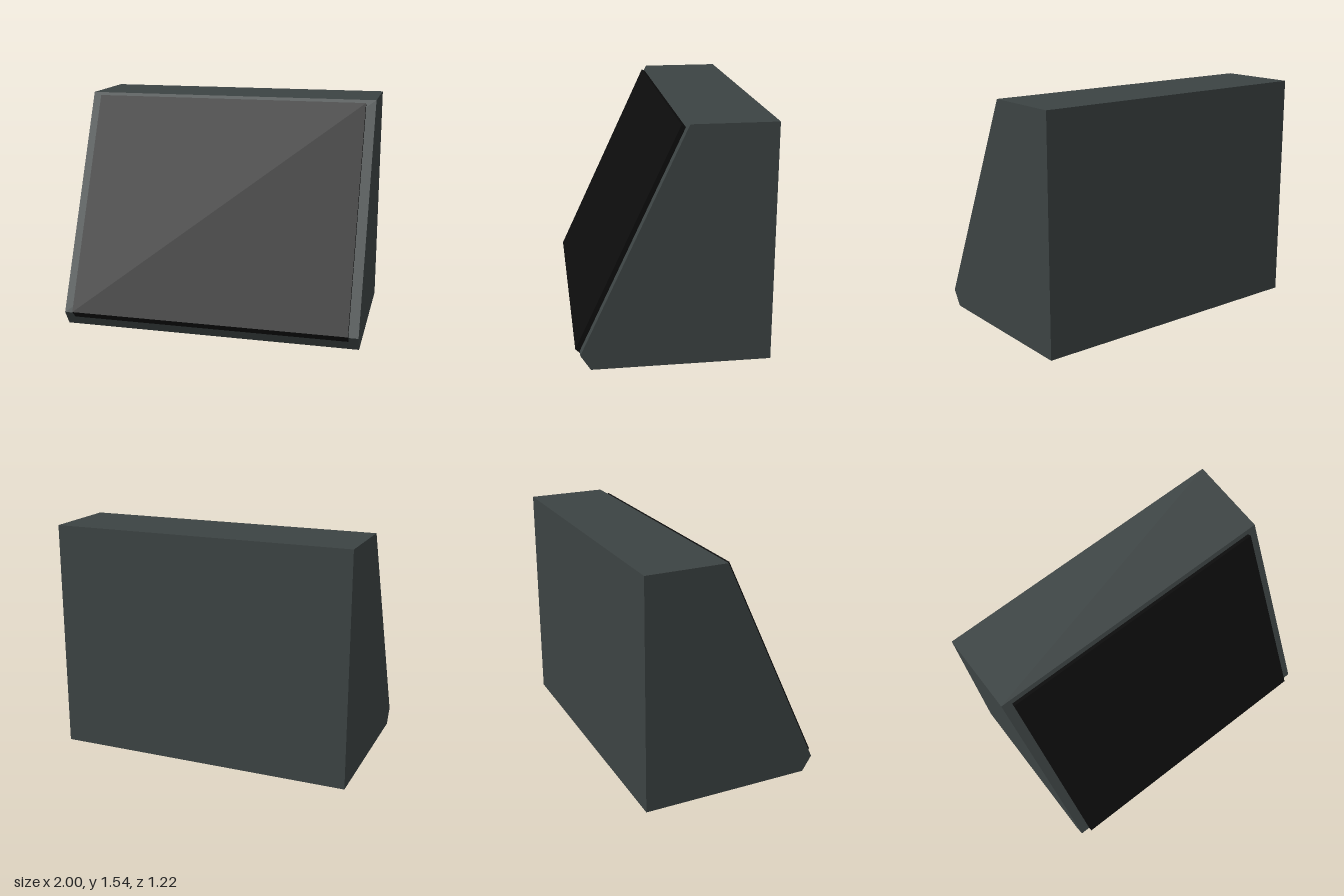
import * as THREE from 'three';

const material = (name, color) => {
  const m = new THREE.MeshStandardMaterial({ color });
  m.name = name;
  return m;
};

// Extrude a [z, y] side profile across x, centred on x = 0
function sideExtrude(name, profile, width, mat) {
  const shape = new THREE.Shape(profile.map(([z, y]) => new THREE.Vector2(-z, y)));
  const geometry = new THREE.ExtrudeGeometry(shape, { depth: width, bevelEnabled: false });
  geometry.translate(0, 0, -width / 2);
  geometry.rotateY(Math.PI / 2);
  const mesh = new THREE.Mesh(geometry, mat);
  mesh.name = name;
  return mesh;
}

export function createModel() {
  const group = new THREE.Group();
  group.name = 'wedgeMonitor';

  const casing = material('casing grey', 0x3c4343);
  const black = material('grille black', 0x0d0d0d);
  const grey = material('base pad grey', 0x8e8e91);

  // Wedge cabinet with a sloping front and a small undercut
  group.add(sideExtrude('cabinet', [
    [-0.612, 0.008], [0.522, 0.008], [0.585, 0.108], [-0.08, 1.538], [-0.612, 1.538],
  ], 2, casing));

  // Front panel lying on the slope, its lower edge cut back
  group.add(sideExtrude('frontPanel', [
    [0.612, 0.122], [0.562, 0.072], [0.5, 0.12], [-0.11, 1.47], [-0.066, 1.506], [-0.04, 1.522],
  ], 1.87, black));

  // Thin pad underneath
  const pad = new THREE.Mesh(new THREE.BoxGeometry(1.73, 0.009, 0.93), grey);
  pad.name = 'basePad';
  pad.position.set(0, 0.0045, -0.045);
  group.add(pad);

  return group;
}
